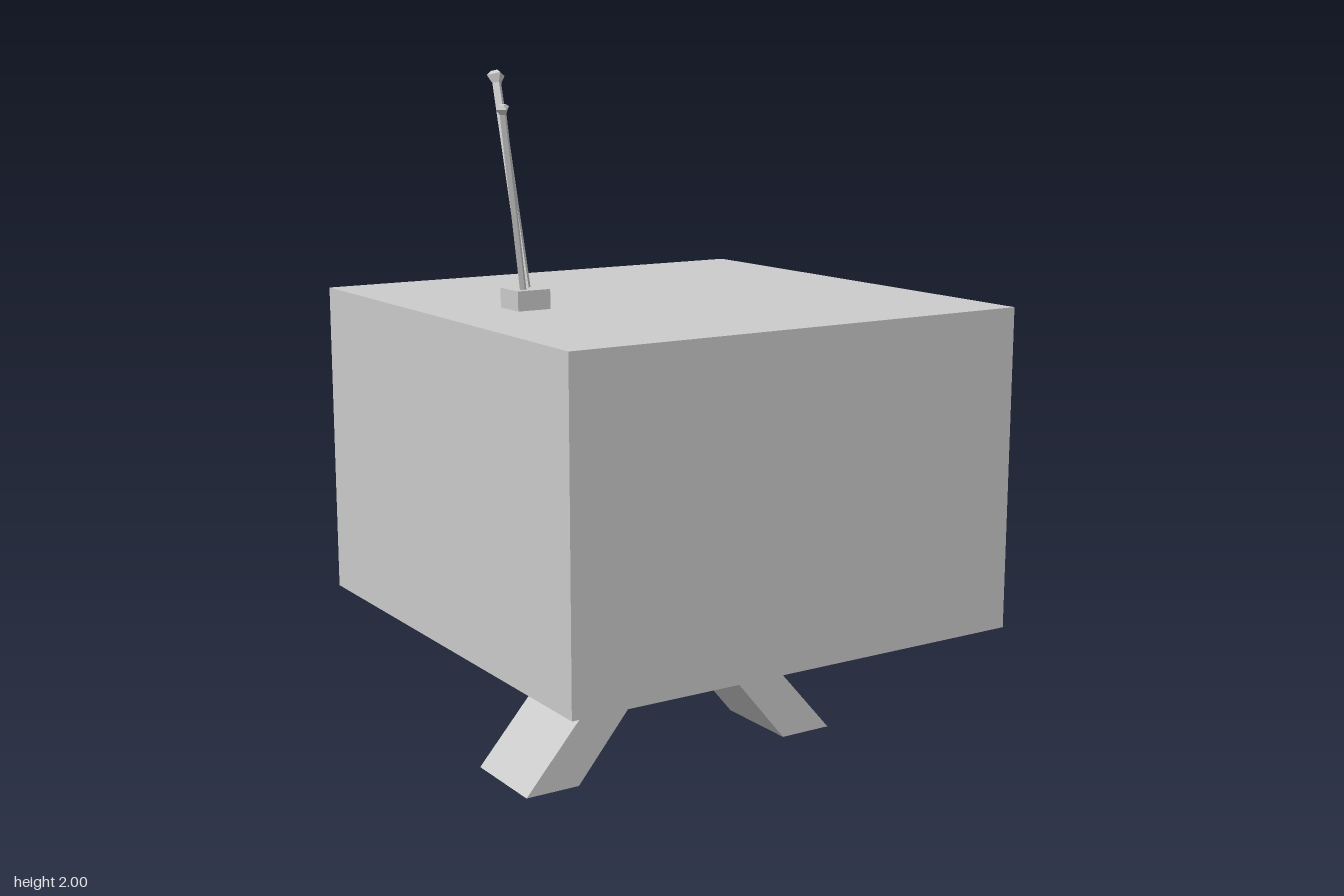
import * as THREE from 'three';

const grey = new THREE.MeshStandardMaterial({ color: 0xcccccc, flatShading: true });

function add(parent, name, geometry, x = 0, y = 0, z = 0) {
  const mesh = new THREE.Mesh(geometry, grey);
  mesh.name = name;
  mesh.position.set(x, y, z);
  parent.add(mesh);
  return mesh;
}

// Skin over a series of rectangles [x0, x1, y0, y1, z]
function loftRects(rects) {
  const rings = rects.map(([x0, x1, y0, y1, z]) =>
    [[x0, y0, z], [x1, y0, z], [x1, y1, z], [x0, y1, z]]);
  const pos = [];
  for (let r = 0; r < rings.length - 1; r++) {
    for (let i = 0; i < 4; i++) {
      const j = (i + 1) % 4;
      const a = rings[r][i], b = rings[r][j], c = rings[r + 1][j], d = rings[r + 1][i];
      pos.push(...a, ...b, ...c, ...a, ...c, ...d);
    }
  }
  const g = new THREE.BufferGeometry();
  g.setAttribute('position', new THREE.Float32BufferAttribute(pos, 3));
  g.computeVertexNormals();
  return g;
}

// Rectangle shrunk to its centre, used to close a loft
const centre = ([x0, x1, y0, y1], z) =>
  [(x0 + x1) / 2, (x0 + x1) / 2, (y0 + y1) / 2, (y0 + y1) / 2, z];

const corners = ([x0, x1, y0, y1]) =>
  [[x0, y0], [x1, y0], [x1, y1], [x0, y1]].map(([x, y]) => new THREE.Vector2(x, y));

function makeCabinet() {
  const cabinet = new THREE.Group();
  cabinet.name = 'cabinet';
  const outer = [-0.71, 0.71, 0.44, 1.36];
  const inner = [-0.687, 0.687, 0.463, 1.337];
  const opening = [-0.61, 0.29, 0.54, 1.265];
  const glass = [-0.51, 0.195, 0.615, 1.185];
  const speaker = [0.325, 0.665, 0.56, 0.87];
  const panelZ = 0.68, glassZ = 0.585, speakerZ = 0.645;

  // Closed shell with a raised rim around the face
  add(cabinet, 'shell', loftRects([
    centre(outer, -0.71), [...outer, -0.71], [...outer, 0.71], [...inner, 0.71], [...inner, panelZ],
  ]));

  // Face panel with openings for screen and speaker
  const shape = new THREE.Shape(corners(inner));
  for (const hole of [opening, speaker]) shape.holes.push(new THREE.Path(corners(hole)));
  add(cabinet, 'facePanel', new THREE.ShapeGeometry(shape), 0, 0, panelZ);

  // Sloping surround and sunken screen
  add(cabinet, 'screenSurround', loftRects([[...opening, panelZ], [...glass, glassZ]]));
  add(cabinet, 'screen', loftRects([[...glass, glassZ], centre(glass, glassZ)]));

  // Sunken speaker
  add(cabinet, 'speakerRecess', loftRects([
    [...speaker, panelZ], [...speaker, speakerZ], centre(speaker, speakerZ),
  ]));

  // Two eight-sided dials with a small chamfer
  const dial = new THREE.LatheGeometry(
    [[0.045, 0], [0.045, 0.025], [0.034, 0.034], [0, 0.034]].map(([r, h]) => new THREE.Vector2(r, h)), 8, Math.PI / 8);
  dial.rotateX(Math.PI / 2);
  for (const y of [1.195, 0.995]) add(cabinet, 'dial', dial, 0.5, y, panelZ);

  // The face looks towards the rear
  cabinet.rotation.y = Math.PI;
  return cabinet;
}

function makeStand() {
  const stand = new THREE.Group();
  stand.name = 'stand';
  add(stand, 'standPlate', new THREE.BoxGeometry(0.54, 0.075, 0.54), 0, 0.4025, 0);
  // Splayed legs
  const profile = [[0.36, 0], [0.53, 0], [0.21, 0.365], [0.055, 0.365]];
  for (const side of [1, -1]) {
    const shape = new THREE.Shape(profile.map(([x, y]) => new THREE.Vector2(side * x, y)));
    const g = new THREE.ExtrudeGeometry(shape, { depth: 0.28, bevelEnabled: false });
    add(stand, side > 0 ? 'leftLeg' : 'rightLeg', g, 0, 0, -0.14);
  }
  return stand;
}

function makeAntenna() {
  const antenna = new THREE.Group();
  antenna.name = 'antenna';
  add(antenna, 'antennaBase', new THREE.BoxGeometry(0.1, 0.055, 0.1), -0.435, 1.3875, 0);
  const rods = [
    { from: [-0.422, 1.4, -0.015], to: [-0.388, 1.98, -0.24], r: 0.014, tip: 0.028 },
    { from: [-0.45, 1.4, 0.018], to: [-0.565, 1.905, 0.128], r: 0.01, tip: 0.02 },
  ];
  for (const { from, to, r, tip } of rods) {
    const a = new THREE.Vector3(...from), b = new THREE.Vector3(...to);
    const dir = b.clone().sub(a);
    const rod = new THREE.Group();
    rod.name = 'antennaRod';
    // Square rod with a small faceted tip
    add(rod, 'rod', new THREE.CylinderGeometry(r, r, dir.length(), 4), 0, dir.length() / 2, 0);
    const points = [[0, -0.7], [0.45, -0.7], [1, 0.2], [0.5, 0.65], [0, 0.65]];
    add(rod, 'rodTip', new THREE.LatheGeometry(
      points.map(([x, y]) => new THREE.Vector2(x * tip, y * tip)), 4), 0, dir.length(), 0);
    rod.position.copy(a);
    rod.quaternion.setFromUnitVectors(new THREE.Vector3(0, 1, 0), dir.normalize());
    antenna.add(rod);
  }
  return antenna;
}

export function createModel() {
  const model = new THREE.Group();
  model.name = 'television';
  model.add(makeCabinet(), makeStand(), makeAntenna());
  return model;
}
